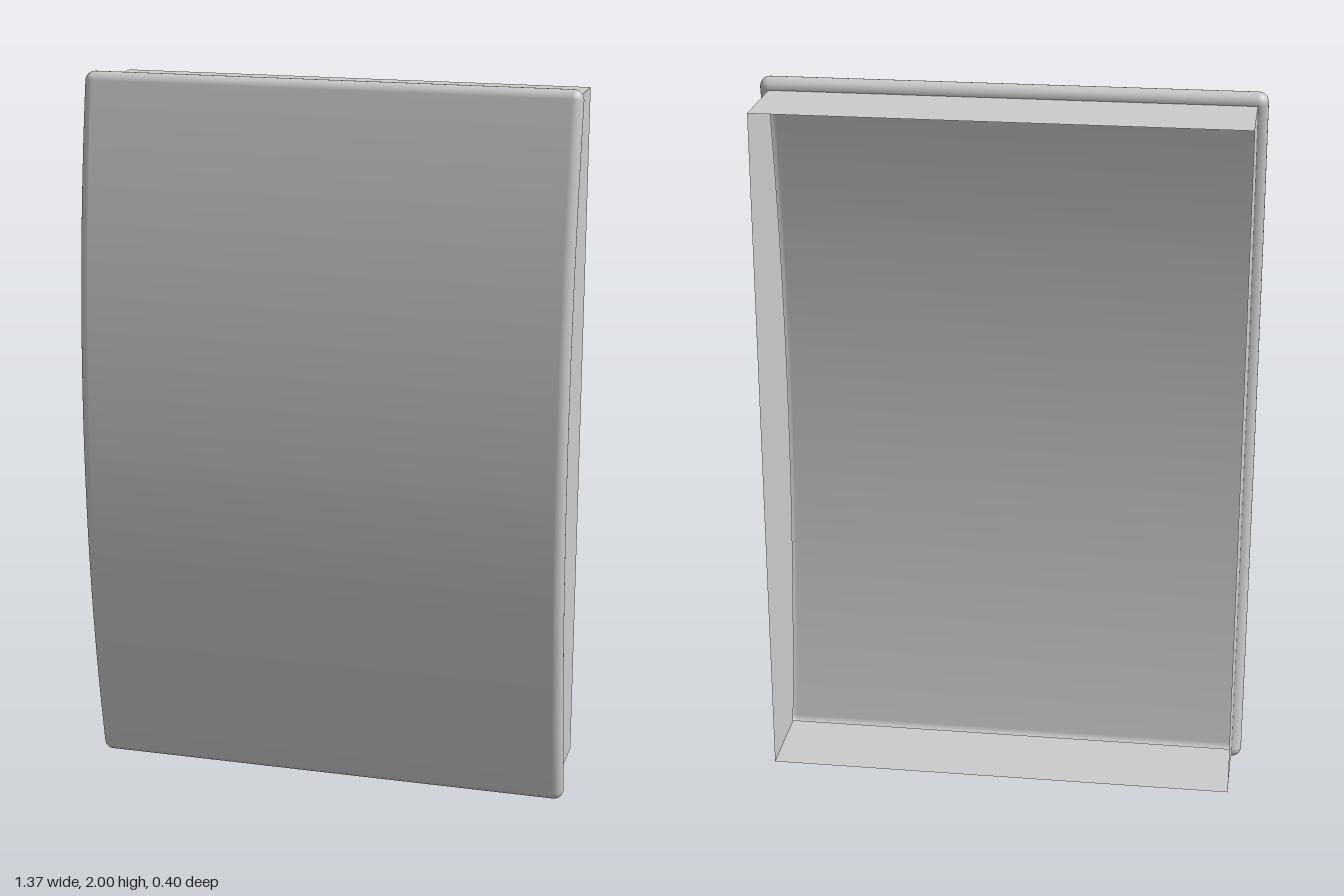
import * as THREE from 'three';

const R = 5;            // bend radius of the panel
const r = 0.0275;       // radius of the rolled edge
const U = 0.6575;       // half width up to the roll
const TH = Math.asin((1 - r) / R); // half bend angle
const V = R * TH;       // half height along the bend
const MID_Z = 0.17;     // roll centre at mid height
const BACK = -0.1975;
const STEPS = 32;

const material = new THREE.MeshStandardMaterial({ color: 0xcccccc, side: THREE.DoubleSide });

// Flat (u, v, depth) to the vertically bowed surface
function bend(u, v, w) {
  const t = v / R;
  return [u, 1 + (R + w) * Math.sin(t), MID_Z - R + (R + w) * Math.cos(t)];
}
function bendNormal(nu, nv, nw, v) {
  const t = v / R, c = Math.cos(t), s = Math.sin(t);
  return [nu, nv * c + nw * s, -nv * s + nw * c];
}

function addMesh(group, name, geometry) {
  const mesh = new THREE.Mesh(geometry, material);
  mesh.name = name;
  group.add(mesh);
  return mesh;
}

// Bowed front sheet
function frontSheet() {
  const g = new THREE.PlaneGeometry(2 * U, 2 * V, 1, STEPS);
  const p = g.attributes.position, n = g.attributes.normal;
  for (let i = 0; i < p.count; i++) {
    const u = p.getX(i), v = p.getY(i);
    p.setXYZ(i, ...bend(u, v, r));
    n.setXYZ(i, ...bendNormal(0, 0, 1, v));
  }
  return g;
}

// Half-round roll that runs round the sheet and turns back to the frame
function rolledEdge() {
  const ring = []; // [u, v, outward angle]
  const corners = [[U, -V], [U, V], [-U, V], [-U, -V]];
  corners.forEach(([u, v], k) => {
    const [u2, v2] = corners[(k + 1) % 4];
    const angle = k * Math.PI / 2;
    for (let i = 0; i <= STEPS; i++) {
      const t = i / STEPS;
      ring.push([u + (u2 - u) * t, v + (v2 - v) * t, angle]);
    }
    for (let i = 1; i < 6; i++) ring.push([u2, v2, angle + i / 6 * Math.PI / 2]);
  });
  ring.push(ring[0]);

  const pos = [], nor = [], idx = [], M = 12;
  ring.forEach(([u, v, angle], i) => {
    for (let j = 0; j <= M; j++) {
      const a = j / M * Math.PI;
      const du = Math.sin(a) * Math.cos(angle), dv = Math.sin(a) * Math.sin(angle), dw = Math.cos(a);
      // the roll stays rigid, so offset along the bent frame of its centre line
      const c = bend(u, v, 0), n = bendNormal(du, dv, dw, v);
      pos.push(c[0] + r * n[0], c[1] + r * n[1], c[2] + r * n[2]);
      nor.push(...n);
      if (i < ring.length - 1 && j < M) {
        const A = i * (M + 1) + j, B = A + 1, C = A + M + 1, D = C + 1;
        idx.push(A, B, C, B, D, C);
      }
    }
  });
  const g = new THREE.BufferGeometry();
  g.setAttribute('position', new THREE.Float32BufferAttribute(pos, 3));
  g.setAttribute('normal', new THREE.Float32BufferAttribute(nor, 3));
  g.setIndex(idx);
  return g;
}

// Side wall outline: straight at the back, following the bow at the front
function sideWall() {
  const shape = new THREE.Shape();
  for (let i = 0; i <= STEPS; i++) {
    const [, y, z] = bend(0, V * (2 * i / STEPS - 1), -r);
    if (i === 0) shape.moveTo(-BACK, y).lineTo(-z, y);
    else shape.lineTo(-z, y);
    if (i === STEPS) shape.lineTo(-BACK, y);
  }
  return new THREE.ShapeGeometry(shape).rotateY(Math.PI / 2);
}

export function createModel() {
  const model = new THREE.Group();
  model.name = 'bowedPanel';

  const panel = new THREE.Group();
  panel.name = 'panel';
  addMesh(panel, 'frontSheet', frontSheet());
  addMesh(panel, 'rolledEdge', rolledEdge());

  // Thin frame, open at the back
  const frame = new THREE.Group();
  frame.name = 'frame';
  const side = sideWall();
  addMesh(frame, 'leftWall', side).position.x = U;
  addMesh(frame, 'rightWall', side.clone().scale(-1, 1, 1)).position.x = -U;
  // mirrored wall: flip the winding so that it faces outward
  const right = frame.children[1].geometry;
  right.index.array.reverse();
  right.computeVertexNormals();

  const [, topY, topZ] = bend(0, V, -r);
  for (const s of [1, -1]) {
    const g = new THREE.PlaneGeometry(2 * U, topZ - BACK).rotateX(-s * Math.PI / 2);
    addMesh(frame, s > 0 ? 'topWall' : 'bottomWall', g)
      .position.set(0, 1 + s * (topY - 1), (topZ + BACK) / 2);
  }

  model.add(panel, frame);
  return model;
}
